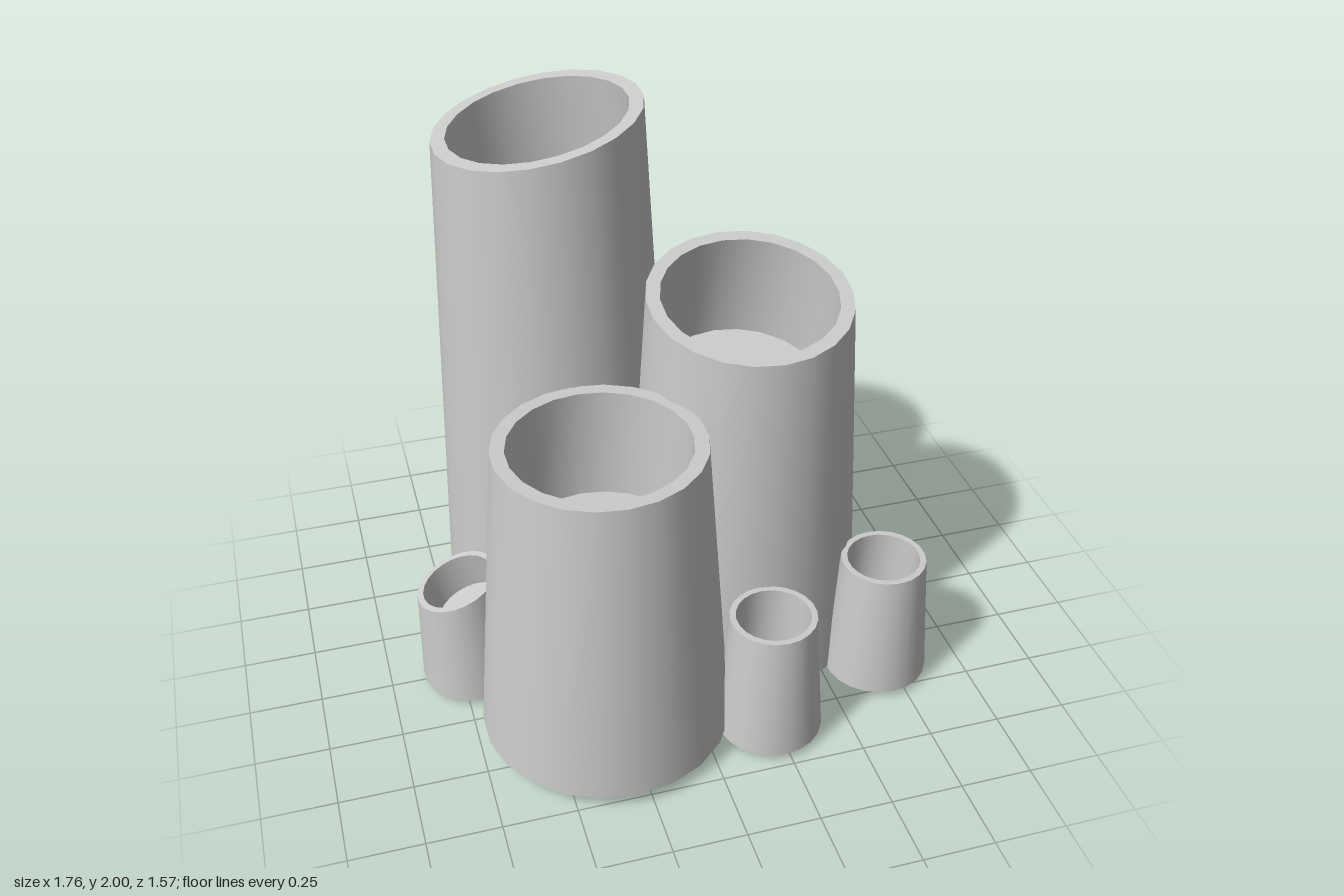
import * as THREE from 'three';
import { toCreasedNormals } from 'three/addons/utils/BufferGeometryUtils.js';

const SIDES = 22;
const material = new THREE.MeshStandardMaterial({ color: 0xcccccc });

// A hollow tapered pipe: the rings run from the base centre up the outside,
// over the rim and down the bore. slope = rise of the rim per unit of x and z.
function pipe(name, { base, baseR, top, topR, boreR, depth, slope = [0, 0] }) {
  const [sx, sz] = slope;
  const b = new THREE.Vector3(...base);
  const t = new THREE.Vector3(...top);
  // the bore sinks at right angles to the rim
  const floor = new THREE.Vector3(-sx, 1, -sz).normalize().multiplyScalar(-depth).add(t);
  const rings = [
    { c: b, r: 0, k: 0 },
    { c: b, r: baseR, k: 0 },
    { c: t, r: topR, k: 1 },
    { c: t, r: boreR, k: 1 },
    { c: floor, r: boreR, k: 1 },
    { c: floor, r: 0, k: 1 },
  ];
  const last = rings.length - 1;
  const geometry = new THREE.CylinderGeometry(1, 1, 1, SIDES, last, true);
  const p = geometry.attributes.position;
  for (let i = 0; i < p.count; i++) {
    const { c, r, k } = rings[Math.round((p.getY(i) + 0.5) * last)];
    const dx = p.getX(i) * r, dz = p.getZ(i) * r;
    p.setXYZ(i, c.x + dx, c.y + k * (sx * dx + sz * dz), c.z + dz);
  }
  const mesh = new THREE.Mesh(toCreasedNormals(geometry, 0.6), material);
  mesh.name = name;
  return mesh;
}

export function createModel() {
  const group = new THREE.Group();
  group.name = 'pipeCluster';
  const large = { baseR: 0.427, topR: 0.343, boreR: 0.296 };
  const small = { baseR: 0.182, topR: 0.147, boreR: 0.126 };

  group.add(
    // three large pipes
    pipe('tallPipe', {
      ...large, base: [-0.285, 0, -0.36], top: [-0.31, 1.94, -0.357],
      depth: 0.4, slope: [0.178, 0],
    }),
    pipe('middlePipe', {
      ...large, base: [0.292, 0.025, 0], top: [0.292, 1.41, 0.027],
      depth: 0.4, slope: [0, -0.178],
    }),
    pipe('frontPipe', {
      ...large, base: [-0.302, 0.05, 0.357], top: [-0.302, 1.155, 0.357], depth: 0.4,
    }),
    // three small pipes
    pipe('smallFrontPipe', {
      ...small, base: [0.229, 0.025, 0.543], top: [0.229, 0.49, 0.543], depth: 0.25,
    }),
    pipe('smallLeftPipe', {
      ...small, base: [0.696, 0.025, 0.363], top: [0.696, 0.49, 0.363], depth: 0.25,
    }),
    pipe('smallRightPipe', {
      ...small, topR: 0.14, boreR: 0.12, base: [-0.702, 0.025, 0.003], top: [-0.738, 0.425, 0.003],
      depth: 0.14, slope: [0.34, 0],
    }),
  );
  return group;
}
